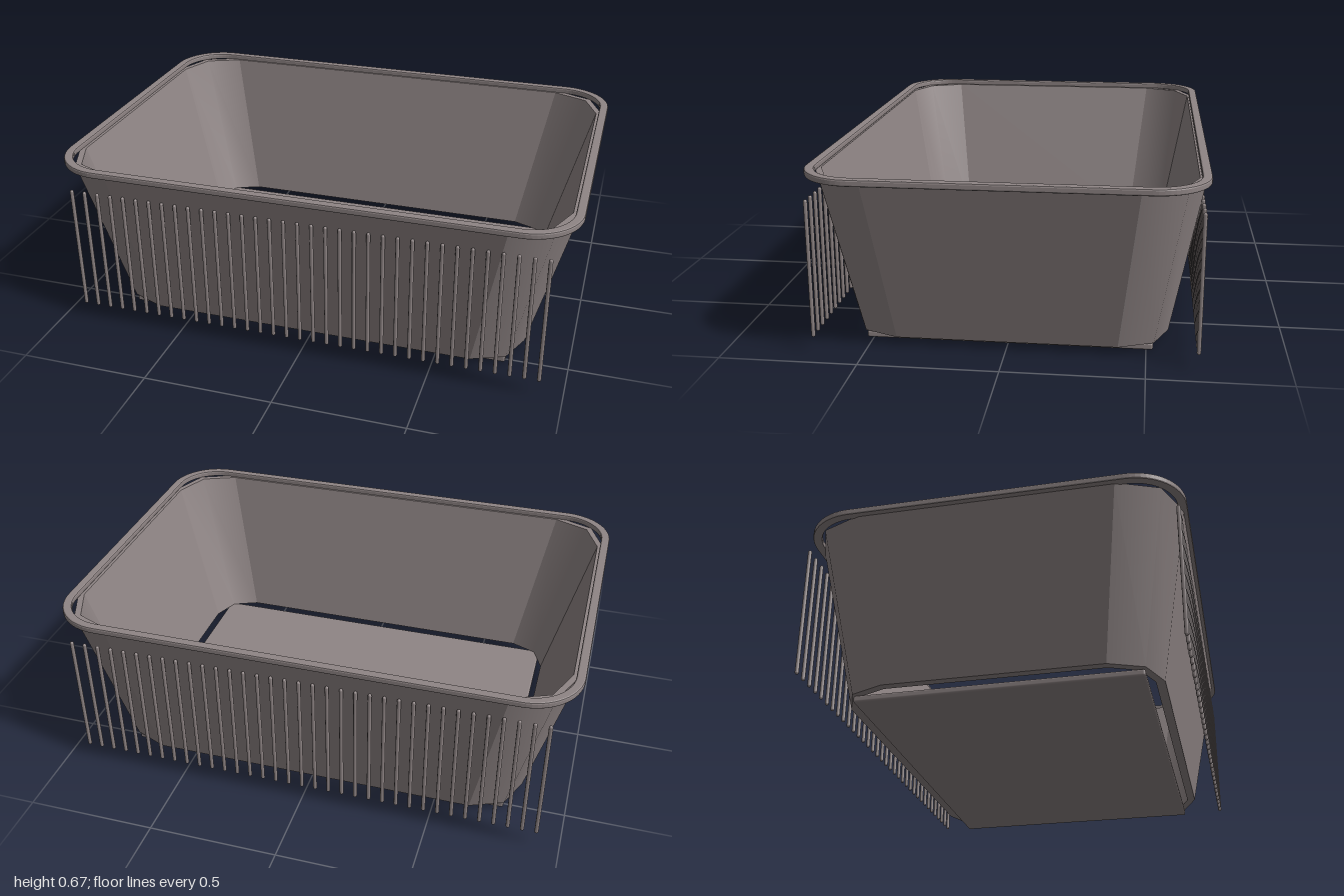
import * as THREE from 'three';
import { RoundedBoxGeometry } from 'three/addons/geometries/RoundedBoxGeometry.js';

// Solid strip through four-cornered sections; smooth along, creased at section corners
function strip(sections) {
  const pos = [], idx = [], n = sections.length;
  for (let j = 0; j < 4; j++) {
    const base = pos.length / 3;
    for (const s of sections) pos.push(...s[j], ...s[(j + 1) % 4]);
    for (let i = 0; i < n - 1; i++) {
      const a = base + i * 2;
      idx.push(a, a + 1, a + 3, a, a + 3, a + 2);
    }
  }
  [sections[0], sections[n - 1]].forEach((s, end) => {
    const b = pos.length / 3;
    s.forEach((p) => pos.push(...p));
    if (end) idx.push(b, b + 1, b + 2, b, b + 2, b + 3);
    else idx.push(b, b + 2, b + 1, b, b + 3, b + 2);
  });
  const g = new THREE.BufferGeometry();
  g.setAttribute('position', new THREE.Float32BufferAttribute(pos, 3));
  g.setIndex(idx);
  g.computeVertexNormals();
  return g;
}

// Cross-section of the tapered body at corner q (0..3) and angle a
function bodySection(q, a) {
  const sx = q === 0 || q === 3 ? 1 : -1, sz = q < 2 ? 1 : -1;
  const point = (cx, cz, r, y) => [sx * cx + r * Math.cos(a), y, sz * cz + r * Math.sin(a)];
  return [
    point(0.64, 0.4, 0.18, 0.03), point(0.76, 0.47, 0.22, 0.645),
    point(0.76, 0.47, 0.195, 0.645), point(0.64, 0.4, 0.147, 0.03),
  ];
}

function roundedRect(target, w, d, r) {
  const q = Math.PI / 2;
  target.absarc(w - r, d - r, r, 0, q);
  target.absarc(r - w, d - r, r, q, 2 * q);
  target.absarc(r - w, r - d, r, 2 * q, 3 * q);
  target.absarc(w - r, r - d, r, 3 * q, 4 * q);
  target.closePath();
  return target;
}

export function createModel() {
  const group = new THREE.Group();
  const grey = new THREE.MeshStandardMaterial({ color: 0x8f8585 });
  grey.name = 'warm grey';
  const add = (name, geometry, x = 0, y = 0, z = 0) => {
    const mesh = new THREE.Mesh(geometry, grey);
    mesh.name = name;
    mesh.position.set(x, y, z);
    group.add(mesh);
    return mesh;
  };

  // Floor plate, slightly smaller than the opening below the walls
  add('floor', new RoundedBoxGeometry(1.53, 0.026, 1.05, 2, 0.008), 0, 0.013, 0);

  // Two-facet corners and sloping walls between them
  const wallNames = ['frontWall', 'rightWall', 'backWall', 'leftWall'];
  const quarter = Math.PI / 2;
  for (let q = 0; q < 4; q++) {
    const start = q * quarter, end = start + quarter;
    add('corner', strip([0, 0.5, 1].map((t) => bodySection(q, start + t * quarter))));
    add(wallNames[q], strip([bodySection(q, end), bodySection((q + 1) % 4, end)]));
  }

  // Rim with softened edges
  const bevel = 0.006;
  const outline = roundedRect(new THREE.Shape(), 1 - bevel, 0.705 - bevel, 0.2 - bevel);
  outline.holes.push(roundedRect(new THREE.Path(), 0.966 + bevel, 0.671 + bevel, 0.166 + bevel));
  const rim = new THREE.ExtrudeGeometry(outline, {
    depth: 0.013, bevelEnabled: true, bevelThickness: bevel, bevelSize: bevel,
    bevelSegments: 2, curveSegments: 8,
  });
  rim.rotateX(-Math.PI / 2);
  add('rim', rim, 0, 0.641 + bevel, 0);

  // Rows of upright rods along front and back
  const rod = new THREE.CapsuleGeometry(0.0075, 0.495, 3, 8);
  const count = 35;
  for (const side of [1, -1]) {
    for (let i = 0; i < count; i++) {
      const x = -0.91 + (1.82 * i) / (count - 1);
      add(side > 0 ? 'frontRod' : 'backRod', rod, x, 0.312, side * 0.68);
    }
  }
  return group;
}
